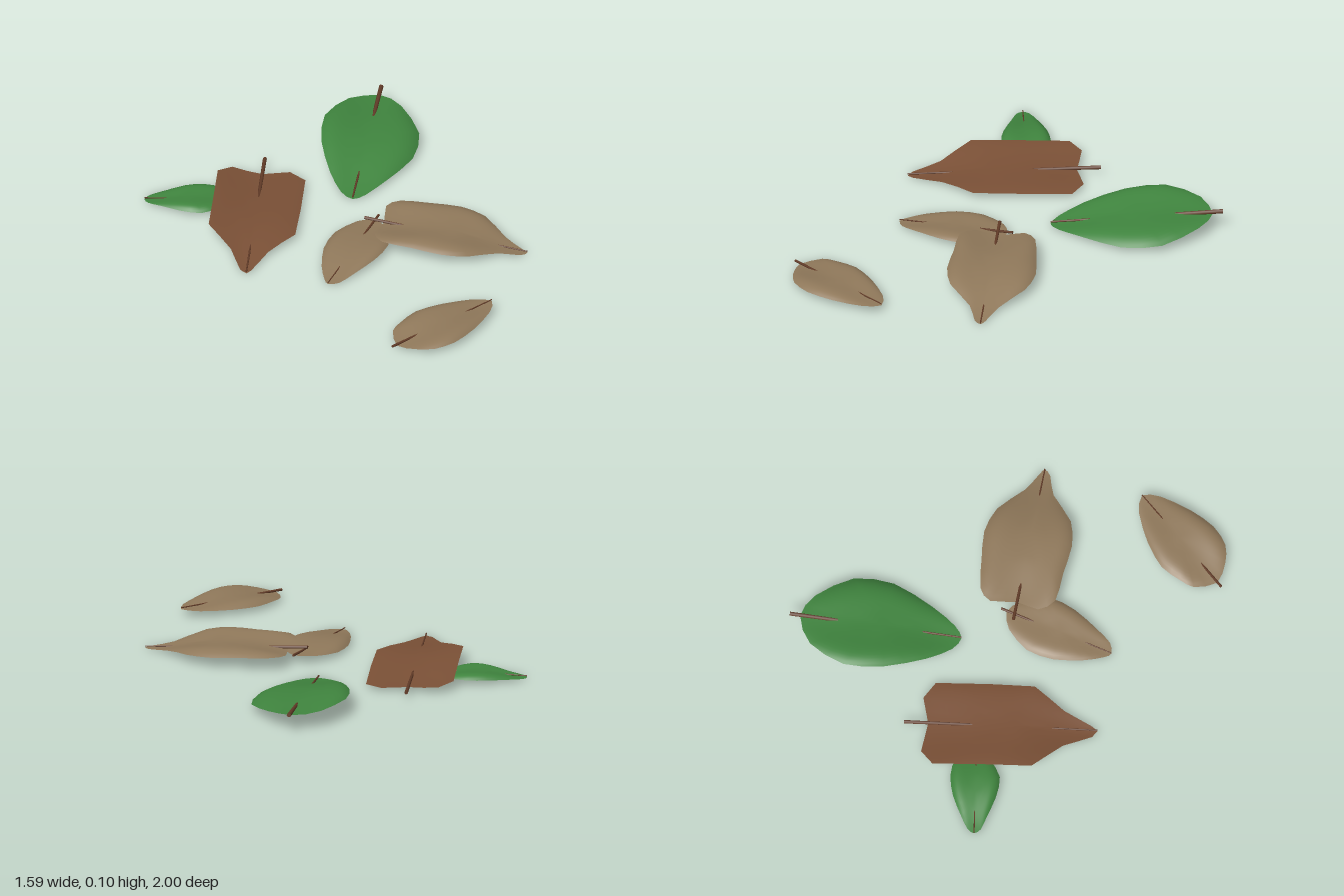
import * as THREE from 'three';

const mat = (name, color) => {
  const m = new THREE.MeshStandardMaterial({ color, side: THREE.DoubleSide });
  m.name = name;
  return m;
};

// Closed outline: half-widths [position along blade, one side, other side] set off from the stem line
function leafOutline(a, b, start, widths, roundness) {
  const base = a.clone().lerp(b, start);
  const side = new THREE.Vector3(a.z - b.z, 0, b.x - a.x).normalize();
  const at = (s, w) => base.clone().lerp(b, s).addScaledVector(side, w);
  const points = [
    at(0, 0),
    ...widths.map(([s, w]) => at(s, w)),
    at(1, 0),
    ...widths.map(([s, , w]) => at(s, -w)).reverse(),
  ];
  const curve = new THREE.CatmullRomCurve3(points, true, 'catmullrom', roundness);
  return { rim: curve.getPoints(points.length * 2).slice(0, -1), centre: at(0.5, 0) };
}

// Thin curved blade: rings shrink from the outline to the centre, and a rule sets the height
function bladeGeometry(a, b, radius, { start, widths, roundness = 0.4, height, slope, dome }) {
  const { rim, centre } = leafOutline(a, b, start, widths, roundness);
  const length = Math.hypot(b.x - a.x, b.z - a.z);
  const dx = (b.x - a.x) / length, dz = (b.z - a.z) / length;
  const surface = (x, z, r) => {
    let y = height + slope[0] * (x - centre.x) + slope[1] * (z - centre.z) + dome * (1 - r ** 5);
    // a groove at both stem ends lets the stem lie on top of the blade
    const along = (x - a.x) * dx + (z - a.z) * dz;
    const across = (z - a.z) * dx - (x - a.x) * dz;
    const stemY = THREE.MathUtils.lerp(a.y, b.y, THREE.MathUtils.clamp(along / length, 0, 1));
    for (const end of [0, length]) {
      const k = Math.exp(-(((along - end) / (0.4 * length)) ** 2) - (across / (0.2 * length)) ** 2);
      y += k * (stemY - radius * 0.8 - 0.003 - y);
    }
    return Math.max(y, 0.003);
  };
  const n = rim.length, rings = 9;
  const pos = [centre.x, surface(centre.x, centre.z, 0), centre.z], index = [];
  for (let j = 1; j <= rings; j++) {
    const r = Math.sqrt(j / rings);
    for (const p of rim) {
      const x = THREE.MathUtils.lerp(centre.x, p.x, r), z = THREE.MathUtils.lerp(centre.z, p.z, r);
      pos.push(x, surface(x, z, r), z);
    }
  }
  for (let i = 0; i < n; i++) {
    const i2 = (i + 1) % n;
    index.push(0, 1 + i, 1 + i2);
    for (let j = 0; j < rings - 1; j++) {
      const p = 1 + j * n, q = p + n;
      index.push(p + i, q + i, p + i2, p + i2, q + i, q + i2);
    }
  }
  const g = new THREE.BufferGeometry();
  g.setAttribute('position', new THREE.Float32BufferAttribute(pos, 3));
  g.setIndex(index);
  g.computeVertexNormals();
  return g;
}

// Straight tapered twig from the stalk end to the leaf tip
function stemMesh(a, b, radius, material) {
  const d = b.clone().sub(a);
  const mesh = new THREE.Mesh(new THREE.CylinderGeometry(radius * 0.4, radius, d.length(), 6), material);
  mesh.name = 'stem';
  mesh.position.copy(a).lerp(b, 0.5);
  mesh.quaternion.setFromUnitVectors(new THREE.Vector3(0, 1, 0), d.normalize());
  return mesh;
}

export function createModel() {
  const green = mat('leaf green', 0x3f843e);
  const brown = mat('leaf brown', 0x7a5036);
  const tan = mat('leaf tan', 0x8f785a);
  const twig = mat('stem brown', 0x633c28);

  const model = new THREE.Group();
  model.name = 'scatteredLeaves';

  const addLeaf = (name, material, from, to, radius, shape) => {
    const a = new THREE.Vector3(...from), b = new THREE.Vector3(...to);
    const blade = new THREE.Mesh(bladeGeometry(a, b, radius, shape), material);
    blade.name = 'blade';
    const group = new THREE.Group();
    group.name = name;
    group.add(blade, stemMesh(a, b, radius, twig));
    model.add(group);
  };

  addLeaf('largeGreenLeaf', green, [0.43, 0.092, -1], [0.12, 0.016, -0.28], 0.01, {
    start: 0.06, height: 0.056, slope: [-0.09, -0.12], dome: 0.04,
    widths: [[0.08, 0.13, 0.11], [0.3, 0.215, 0.22], [0.55, 0.2, 0.22], [0.8, 0.13, 0.13], [0.95, 0.06, 0.055]],
  });
  addLeaf('smallGreenLeaf', green, [-0.38, 0.035, -0.36], [-0.8, 0.016, -0.5], 0.006, {
    start: 0.13, height: 0.022, slope: [0.03, 0], dome: 0.032,
    widths: [[0.08, 0.09, 0.06], [0.3, 0.115, 0.11], [0.55, 0.1, 0.095], [0.8, 0.06, 0.055], [0.95, 0.03, 0.03]],
  });
  // dry leaf with straight, angular edges
  addLeaf('brownLeaf', brown, [-0.2, 0.033, -0.65], [-0.49, 0.016, 0.18], 0.009, {
    start: 0.125, height: 0.05, slope: [-0.1, 0], dome: 0.006, roundness: 0,
    widths: [[-0.035, 0.14, 0.123], [0.035, 0.202, 0.198], [0.35, 0.2, 0.2], [0.62, 0.2, 0.195],
      [0.8, 0.085, 0.085], [0.97, 0.03, 0.02]],
  });
  addLeaf('lowerTanLeaf', tan, [0.19, 0.048, -0.07], [-0.15, 0.013, 0.35], 0.006, {
    start: 0.05, height: 0.028, slope: [0.06, 0], dome: 0.028,
    widths: [[0.08, 0.075, 0.065], [0.3, 0.135, 0.135], [0.55, 0.13, 0.125], [0.8, 0.08, 0.08], [0.95, 0.03, 0.045]],
  });
  addLeaf('upperTanLeaf', tan, [0.115, 0.07, -0.035], [0.79, 0.01, 0.32], 0.008, {
    start: 0.12, height: 0.06, slope: [-0.05, 0], dome: 0.036,
    widths: [[-0.03, 0.1, 0.121], [0.05, 0.17, 0.177], [0.25, 0.18, 0.197], [0.46, 0.194, 0.211],
      [0.64, 0.166, 0.175], [0.82, 0.063, 0.071], [0.96, 0.03, 0.02]],
  });
  addLeaf('frontTanLeaf', tan, [0.01, 0.018, 0.92], [0.53, 0.045, 0.702], 0.006, {
    start: 0.05, height: 0.03, slope: [0.02, 0], dome: 0.03,
    widths: [[0.09, 0.087, 0.097], [0.21, 0.141, 0.125], [0.4, 0.156, 0.15], [0.64, 0.125, 0.125], [0.89, 0.063, 0.066]],
  });
  return model;
}
